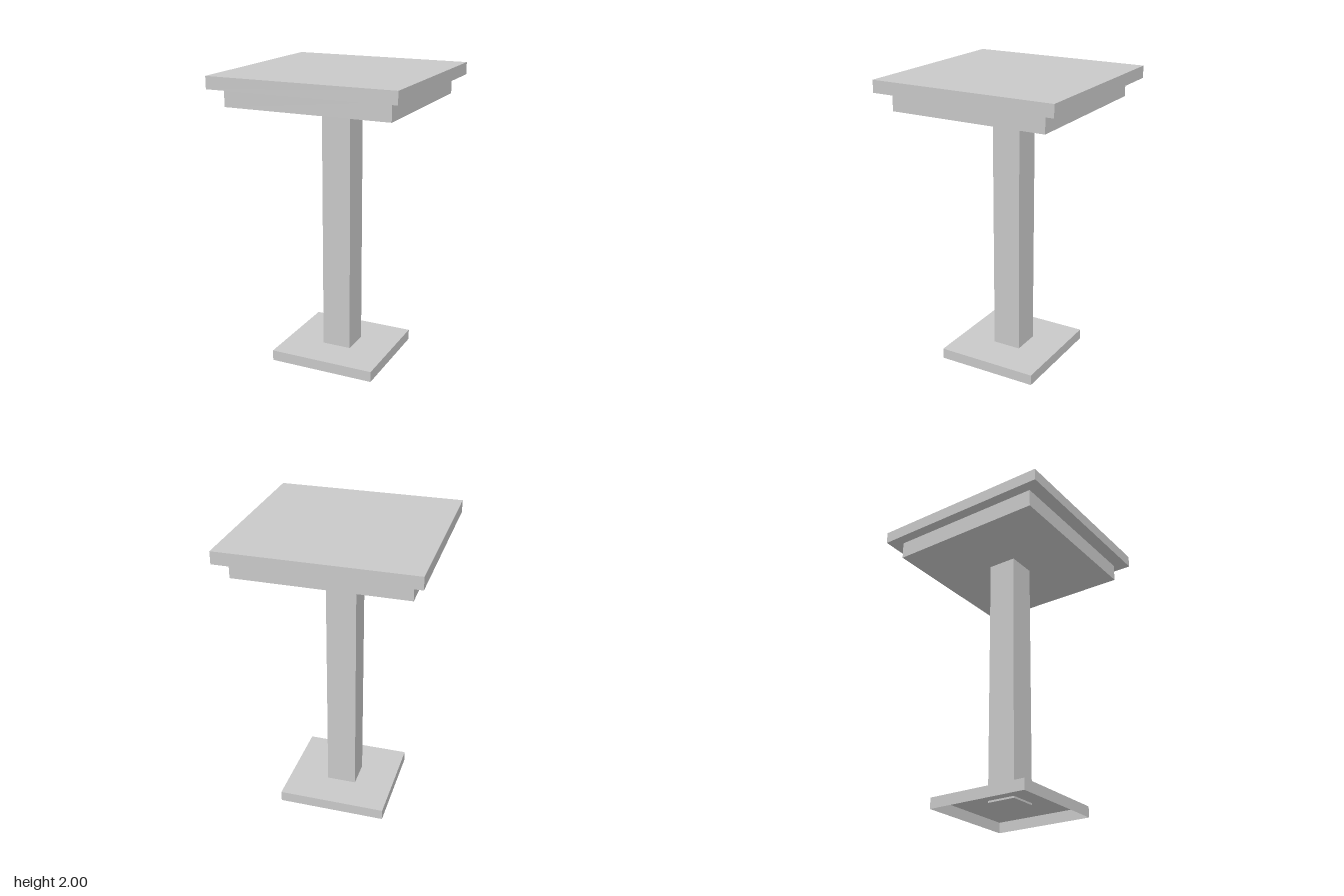
import * as THREE from 'three';

const grey = new THREE.MeshStandardMaterial({ color: 0xc8c8c8, side: THREE.DoubleSide });
grey.name = 'light grey';

// Box given by its lower and upper limits along each axis
function block(name, [x0, x1], [y0, y1], [z0, z1]) {
  const geometry = new THREE.BoxGeometry(x1 - x0, y1 - y0, z1 - z0);
  geometry.translate((x0 + x1) / 2, (y0 + y1) / 2, (z0 + z1) / 2);
  const mesh = new THREE.Mesh(geometry, grey);
  mesh.name = name;
  return mesh;
}

// Drop the underside so the box is a hollow shell
function openBottom(mesh) {
  const g = mesh.geometry;
  const index = Array.from(g.index.array);
  index.splice(18, 6);
  g.setIndex(index);
  g.clearGroups();
  return mesh;
}

export function createModel() {
  const table = new THREE.Group();
  table.name = 'pedestalTable';
  table.add(
    block('tableTop', [-0.632, 0.632], [1.918, 2], [-0.63, 0.63]),
    block('apron', [-0.56, 0.56], [1.798, 1.918], [-0.537, 0.54]),
    // The column end pokes slightly through the foot plate
    block('column', [-0.105, 0.097], [0.06, 1.798], [-0.102, 0.097]),
    openBottom(block('foot', [-0.37, 0.368], [0, 0.073], [-0.352, 0.355]))
  );
  return table;
}
